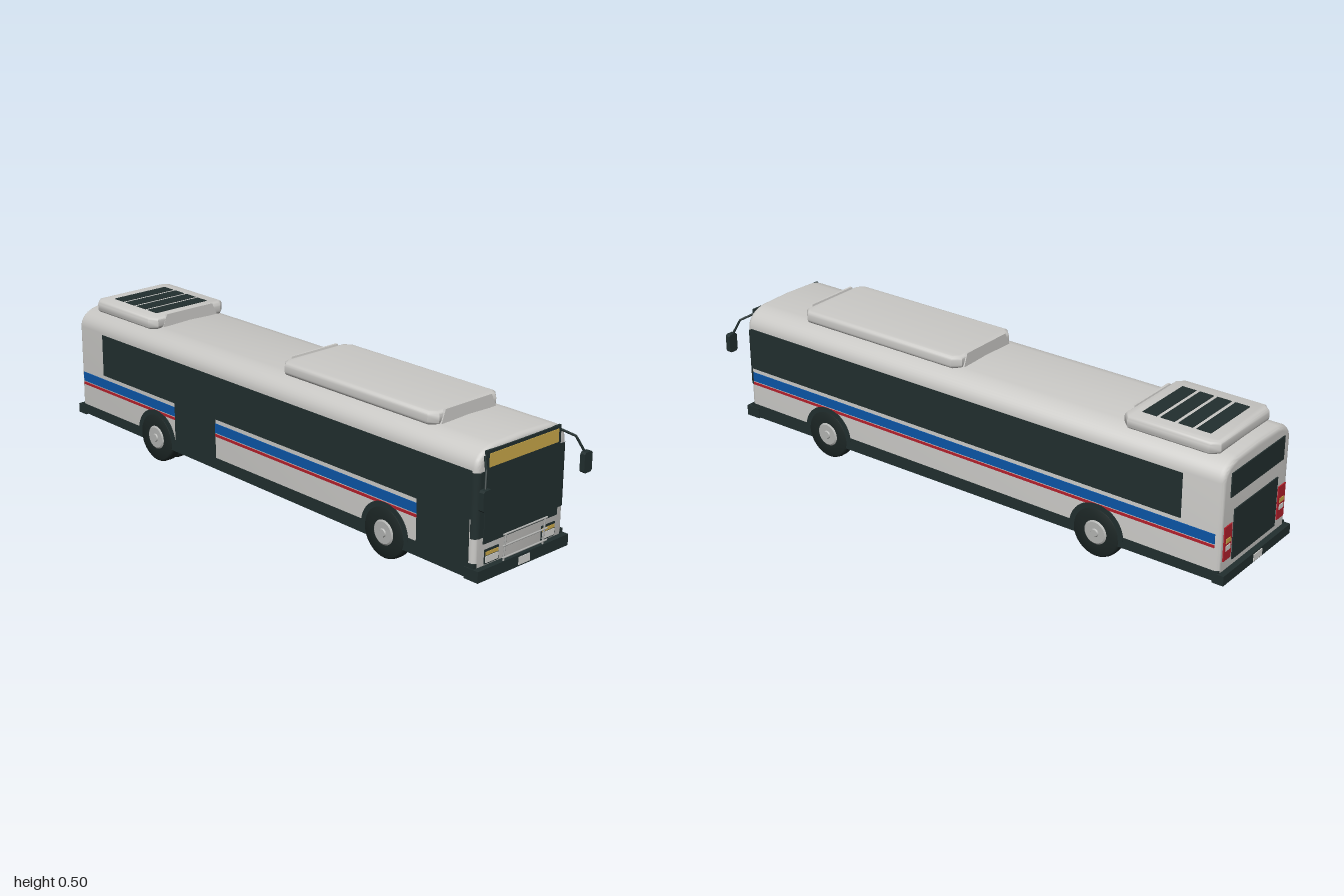
import * as THREE from 'three';
import { toCreasedNormals } from 'three/addons/utils/BufferGeometryUtils.js';

const mat = (name, color) => new THREE.MeshStandardMaterial({ name, color });

export function createModel() {
  const bus = new THREE.Group();
  bus.name = 'cityBus';
  const paint = mat('light grey paint', 0xcbcac7);
  const dark = mat('dark glass and trim', 0x222f2f);
  const rubber = mat('tyre rubber', 0x1c2625);
  const blue = mat('blue stripe', 0x0c56a8);
  const red = mat('red stripe and lamps', 0xb5202c);
  const amber = mat('amber', 0xcdab4b);
  const metal = mat('metal', 0xb4b5b3);
  const white = mat('white lamp', 0xd8d8d4);

  const add = (name, geo, material, parent = bus) => {
    const m = new THREE.Mesh(geo, material);
    m.name = name;
    parent.add(m);
    return m;
  };
  // box given by its limits along each axis
  const block = (name, material, x0, x1, y0, y1, z0, z1) => {
    const m = add(name, new THREE.BoxGeometry(x1 - x0, y1 - y0, z1 - z0), material);
    m.position.set((x0 + x1) / 2, (y0 + y1) / 2, (z0 + z1) / 2);
    return m;
  };
  // thin plate on one long side
  const sidePlate = (name, material, s, x0, x1, y0, y1) =>
    block(name, material, x0, x1, y0, y1, s * 0.199 - 0.0015, s * 0.199 + 0.0015);
  const bar = (name, material, points, r) => {
    const path = new THREE.CurvePath();
    const v = points.map(p => new THREE.Vector3(...p));
    for (let i = 1; i < v.length; i++) path.add(new THREE.LineCurve3(v[i - 1], v[i]));
    return add(name, new THREE.TubeGeometry(path, 16, r, 8), material);
  };

  // body shell: rounded section swept along the length with rounded ends
  const sec = new THREE.Shape();
  sec.moveTo(-0.198, 0.07);
  sec.lineTo(0.198, 0.07);
  sec.lineTo(0.198, 0.395);
  sec.bezierCurveTo(0.196, 0.43, 0.165, 0.453, 0.12, 0.458);
  sec.lineTo(0, 0.462);
  sec.lineTo(-0.12, 0.458);
  sec.bezierCurveTo(-0.165, 0.453, -0.196, 0.43, -0.198, 0.395);
  const bevel = 0.018;
  const shell = new THREE.ExtrudeGeometry(sec, {
    depth: 1.915 - 2 * bevel, bevelSize: bevel, bevelThickness: bevel,
    bevelOffset: -bevel, bevelSegments: 5, curveSegments: 10,
  });
  shell.rotateY(Math.PI / 2).translate(-0.98 + bevel, 0, 0);
  add('bodyShell', toCreasedNormals(shell, 0.6), paint);

  // dark skirt and floor, dropping slightly toward the nose
  const skirt = new THREE.BoxGeometry(1.912, 0.05, 0.4);
  const sp = skirt.attributes.position;
  for (let i = 0; i < sp.count; i++)
    sp.setY(i, sp.getY(i) > 0 ? 0.102 : sp.getX(i) > 0 ? 0.054 : 0.068);
  skirt.translate(-0.022, 0, 0);
  skirt.computeVertexNormals();
  add('skirt', skirt, dark);
  block('frontBumper', dark, 0.9, 0.955, 0.051, 0.088, -0.203, 0.203);
  block('rearBumper', dark, -1.0, -0.96, 0.062, 0.095, -0.201, 0.201);

  // side glazing, doors and stripes
  for (const s of [1, -1]) {
    sidePlate('sideWindows', dark, s, -0.842, 0.917, 0.24, 0.39);
    const runs = s > 0 ? [[-0.962, -0.44], [-0.227, 0.703]] : [[-0.962, 0.917]];
    for (const [a, b] of runs) {
      sidePlate('blueStripe', blue, s, a, b, 0.192, 0.225);
      sidePlate('redStripe', red, s, a, b, 0.179, 0.188);
    }
    // curved corner glass
    const corner = new THREE.CylinderGeometry(0.0205, 0.0205, 0.205, 8, 1, true,
      s > 0 ? 0 : Math.PI / 2, Math.PI / 2);
    add('cornerGlass', corner, dark).position.set(0.917, 0.2825, s * 0.18);
    block('cornerGlassFront', dark, 0.932, 0.937, 0.18, 0.385,
      s > 0 ? 0.16 : -0.181, s > 0 ? 0.181 : -0.16);
  }
  sidePlate('rearDoor', dark, 1, -0.44, -0.227, 0.1, 0.25);
  sidePlate('frontDoor', dark, 1, 0.703, 0.912, 0.1, 0.25);

  // nose
  block('windscreen', dark, 0.931, 0.939, 0.158, 0.447, -0.164, 0.164);
  block('destinationSign', amber, 0.937, 0.941, 0.395, 0.437, -0.152, 0.152);
  block('frontPlate', white, 0.952, 0.957, 0.056, 0.081, -0.025, 0.025);
  for (const s of [1, -1]) {
    const lamp = (name, m, x, y0, y1, a, b) =>
      block(name, m, 0.932, x, y0, y1, Math.min(s * a, s * b), Math.max(s * a, s * b));
    lamp('headlightFrame', dark, 0.938, 0.092, 0.138, 0.096, 0.157);
    lamp('turnSignal', amber, 0.94, 0.12, 0.131, 0.099, 0.154);
    lamp('headlight', white, 0.94, 0.096, 0.117, 0.099, 0.154);
    // mirror on a bent arm
    bar('mirrorArm', dark, [[0.935, 0.43, s * 0.167], [0.968, 0.41, s * 0.198],
      [0.988, 0.355, s * 0.222]], 0.004);
    const c = 0.006, w = 0.018, h = 0.033;
    const outline = new THREE.Shape([[-w + c, -h], [w - c, -h], [w, -h + c], [w, h - c],
      [w - c, h], [-w + c, h], [-w, h - c], [-w, -h + c]].map(p => new THREE.Vector2(...p)));
    const mirror = new THREE.ExtrudeGeometry(outline, { depth: 0.018, bevelEnabled: false });
    mirror.rotateY(Math.PI / 2);
    add('mirror', mirror, dark).position.set(0.982, 0.329, s * 0.223);
    bar('rackUpright', metal, [[0.95, 0.083, s * 0.088], [0.957, 0.174, s * 0.088]], 0.003);
  }
  for (const y of [0.1, 0.138, 0.174])
    bar('rackBar', metal, [[0.955, y, -0.1], [0.955, y, 0.1]], 0.003);

  // tail
  block('rearWindow', dark, -0.984, -0.976, 0.335, 0.415, -0.155, 0.155);
  block('engineCover', dark, -0.984, -0.976, 0.115, 0.285, -0.128, 0.128);
  block('rearPlate', white, -1.0025, -0.999, 0.066, 0.09, -0.025, 0.025);
  for (const s of [1, -1]) {
    const z0 = s > 0 ? 0.138 : -0.18;
    block('tailLamp', red, -0.984, -0.976, 0.13, 0.245, z0, z0 + 0.042);
    block('reverseLamp', white, -0.986, -0.98, 0.163, 0.18, z0 + 0.008, z0 + 0.034);
    block('rearTurnSignal', amber, -0.986, -0.98, 0.188, 0.203, z0 + 0.008, z0 + 0.034);
  }

  // roof pods: rounded slabs with chamfered corners
  const pod = (name, x0, x1, w) => {
    const c = 0.025;
    const plan = new THREE.Shape([[x0 + c, -w], [x1 - c, -w], [x1, -w + c], [x1, w - c],
      [x1 - c, w], [x0 + c, w], [x0, w - c], [x0, -w + c]].map(p => new THREE.Vector2(...p)));
    const g = new THREE.ExtrudeGeometry(plan, { depth: 0.016, bevelSize: 0.014,
      bevelThickness: 0.014, bevelOffset: -0.014, bevelSegments: 4 });
    g.rotateX(-Math.PI / 2).translate(0, 0.467, 0);
    add(name, toCreasedNormals(g, 0.7), paint);
  };
  pod('frontRoofPod', 0.04, 0.715, 0.15);
  pod('rearRoofPod', -0.932, -0.595, 0.165);
  // upright tapered fairings at pod ends
  for (const [x, d] of [[0.71, 1], [0.045, -1], [-0.603, 1]]) {
    const g = new THREE.BoxGeometry(0.02, 0.042, 0.24);
    const p = g.attributes.position;
    for (let i = 0; i < p.count; i++) if (p.getY(i) > 0) {
      p.setZ(i, p.getZ(i) * 0.84);
      p.setX(i, p.getX(i) * 0.4 + d * 0.004);
    }
    g.computeVertexNormals();
    add('podFairing', g, paint).position.set(x, 0.48, 0);
  }
  for (let i = 0; i < 4; i++) {
    const x = -0.88 + i * 0.063;
    block('roofLouvre', dark, x, x + 0.05, 0.494, 0.499, -0.114, 0.111);
  }

  // wheels: single at the front, double at the rear
  const tyre = new THREE.LatheGeometry([[0.04, -0.023], [0.08, -0.023], [0.086, -0.018],
    [0.088, -0.01], [0.088, 0.01], [0.086, 0.018], [0.08, 0.023], [0.04, 0.023], [0, 0.021]]
    .map(p => new THREE.Vector2(...p)), 32).rotateX(Math.PI / 2);
  const tyreGeo = toCreasedNormals(tyre, 0.7);
  const rim = new THREE.CylinderGeometry(0.036, 0.044, 0.006, 28).rotateX(Math.PI / 2);
  const cap = new THREE.CylinderGeometry(0.012, 0.016, 0.006, 16).rotateX(Math.PI / 2);
  const arch = new THREE.CylinderGeometry(0.1, 0.1, 0.004, 32, 1, false, 0, Math.PI)
    .rotateX(Math.PI / 2).rotateZ(Math.PI / 2);
  for (const x of [-0.543, 0.57]) for (const s of [1, -1]) {
    const wheel = new THREE.Group();
    wheel.name = x > 0 ? 'frontWheel' : 'rearWheel';
    wheel.position.set(x, 0.089, s * 0.18);
    if (s < 0) wheel.rotation.y = Math.PI;
    bus.add(wheel);
    add('tyre', tyreGeo, rubber, wheel);
    add('rim', rim, metal, wheel).position.z = 0.024;
    add('hubCap', cap, metal, wheel).position.z = 0.028;
    if (x < 0) add('innerTyre', tyreGeo, rubber, wheel).position.z = -0.052;
    add('wheelArch', arch, dark).position.set(x, 0.088, s * 0.1995);
  }
  return bus;
}
